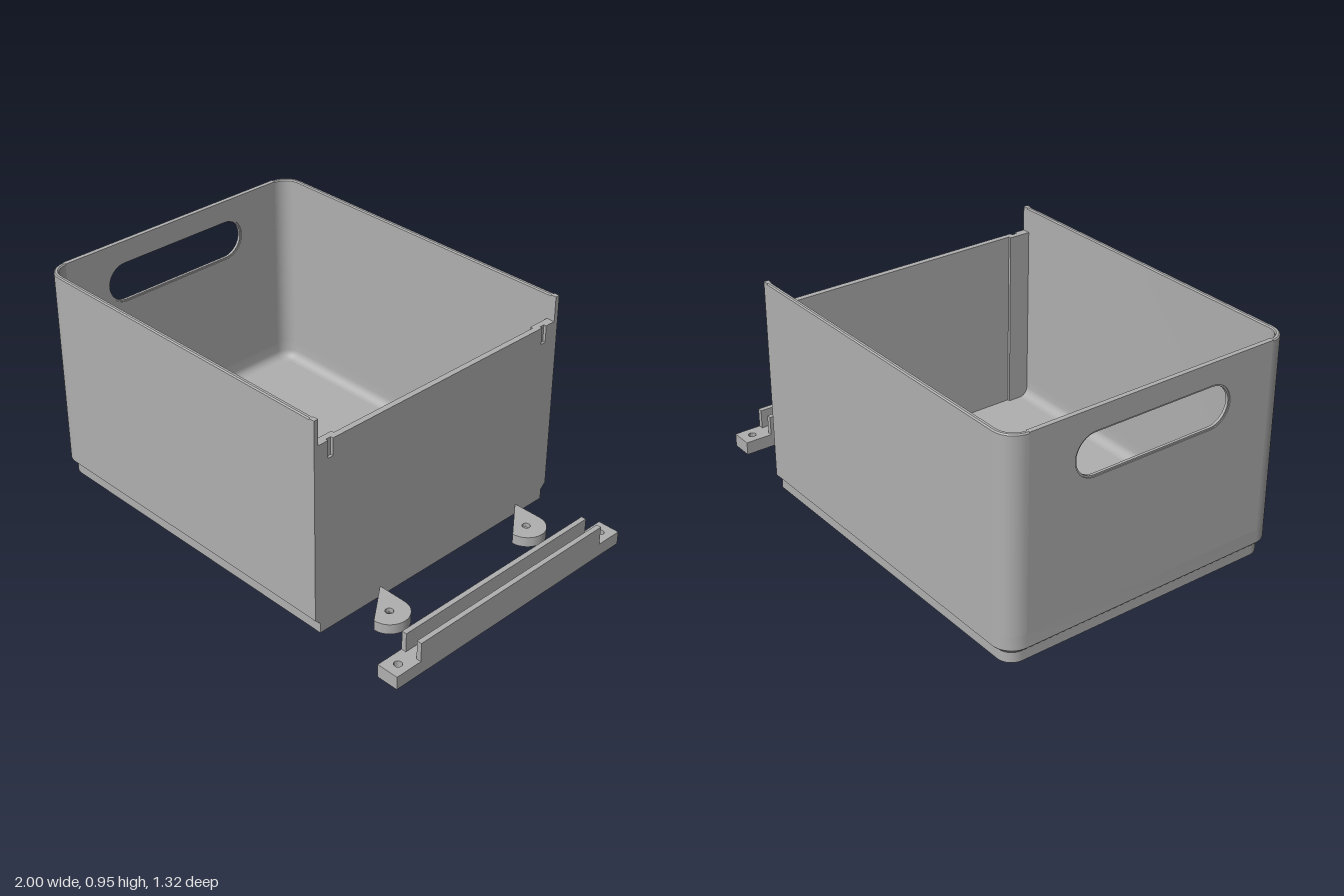
import * as THREE from 'three';
import { toCreasedNormals } from 'three/addons/utils/BufferGeometryUtils.js';

const W = 0.66, R = 0.09, X1 = 0.575, XW = 0.55, TOP = 0.955, LOW = 0.845, T = 0.02, SPLIT = 0.13;

// U-shaped plan of the bin: front side, rounded left end, back side
function plan(inset) {
  const pts = [[XW, W - inset]], n = 10;
  for (const s of [1, -1]) {
    for (let i = 0; i <= n; i++) {
      const a = (s > 0 ? i / n : 1 - i / n) * Math.PI / 2;
      pts.push([-1 + R - Math.sin(a) * (R - inset), s * (W - R + Math.cos(a) * (R - inset))]);
    }
  }
  pts.push([XW, -W + inset]);
  return pts;
}

// Sweeps an (inset, y) profile along part of the plan
function sweep(profile, from, to) {
  const rings = profile.map(([inset, y]) => plan(inset).map(([x, z]) => [x, y, z]));
  const pos = [];
  for (let j = 0; j < rings.length - 1; j++) {
    for (let i = from; i < to; i++) {
      const a = rings[j][i], b = rings[j][i + 1], c = rings[j + 1][i + 1], d = rings[j + 1][i];
      pos.push(...a, ...d, ...c, ...a, ...c, ...b);
    }
  }
  const g = new THREE.BufferGeometry();
  g.setAttribute('position', new THREE.Float32BufferAttribute(pos, 3));
  return toCreasedNormals(g, 0.6);
}

const poly = pts => new THREE.Shape(pts.map(([x, y]) => new THREE.Vector2(x, y)));

function circle(x, y, r) {
  return new THREE.Path().absarc(x, y, r, 0, Math.PI * 2, true);
}

function extrude(shape, depth) {
  const g = new THREE.ExtrudeGeometry(shape, { depth, bevelEnabled: false, curveSegments: 16 });
  return toCreasedNormals(g, 0.6);
}

// Horizontal plate from a shape drawn in (x, -z)
const flat = (shape, y, h) => extrude(shape, h).rotateX(-Math.PI / 2).translate(0, y, 0);
// Upright plate from a shape drawn in (-z, y)
const upright = (shape, x, d) => extrude(shape, d).rotateY(Math.PI / 2).translate(x, 0, 0);

// Long handle opening with round ends
function slot(grow) {
  const r = 0.085 + grow, c = 0.275, y = 0.768, p = new THREE.Path();
  p.absarc(c, y, r, -Math.PI / 2, Math.PI / 2, false);
  p.absarc(-c, y, r, Math.PI / 2, Math.PI * 1.5, false);
  p.closePath();
  return p;
}

// Low end wall with thin upright ears and optional grooves in its top edge
function endWall(grooved) {
  const half = [[0.635, 0], [0.635, 0.045], [W, 0.07], [W, TOP], [W - T, TOP], [W - T, LOW]];
  if (grooved) half.push([0.592, LOW], [0.592, 0.77], [0.568, 0.77], [0.568, LOW]);
  return poly([...half, ...half.map(([z, y]) => [-z, y]).reverse()]);
}

export function createModel() {
  const model = new THREE.Group();
  const grey = new THREE.MeshStandardMaterial({ color: 0xb0b0b0 });
  grey.name = 'grey plastic';
  const add = (name, geometry, parent = model) => {
    const m = new THREE.Mesh(geometry, grey);
    m.name = name;
    parent.add(m);
    return m;
  };
  const group = name => {
    const g = new THREE.Group();
    g.name = name;
    model.add(g);
    return g;
  };

  // Bin: inset base, lower wall with curved inner edge, upper walls
  const bin = group('bin');
  add('base', flat(poly(plan(0.025).map(([x, z]) => [x, -z])), 0, 0.045), bin);
  const lower = [[0.025, 0.045], [0, 0.07], [0, SPLIT]];
  const cove = [];
  for (let i = 0; i <= 6; i++) {
    const a = i / 6 * Math.PI / 2;
    cove.push([T + 0.04 * (1 - Math.cos(a)), 0.085 - 0.04 * Math.sin(a)]);
  }
  const last = plan(0).length - 1, mid = (last - 1) / 2;
  add('lowerWallOutside', sweep(lower, 0, last), bin);
  add('lowerWallInside', sweep([[T, SPLIT], ...cove], 0, last), bin);
  const upper = [[0, SPLIT], [0, TOP - 0.005], [0.005, TOP], [T - 0.005, TOP], [T, TOP - 0.005], [T, SPLIT]];
  add('frontWall', sweep(upper, 0, mid), bin);
  add('backWall', sweep(upper, mid + 1, last), bin);

  // Left wall in three layers, so the handle opening has a softened rim
  for (const [x, d, grow] of [[0, 0.004, 0.007], [0.004, 0.012, 0], [0.016, 0.004, 0.007]]) {
    const e = W - R, s = poly([[-e, SPLIT], [e, SPLIT], [e, TOP], [-e, TOP]]);
    s.holes.push(slot(grow));
    add('handleWall', upright(s, -1 + x, d), bin);
  }

  // Low right wall, grooved on its outer layer
  add('endWallInner', upright(endWall(false), XW, 0.013), bin);
  add('endWallOuter', upright(endWall(true), XW + 0.013, X1 - XW - 0.013), bin);
  for (const s of [1, -1]) {
    add('cornerPost', new THREE.BoxGeometry(0.012, LOW - 0.045, 0.1)
      .translate(XW - 0.006, (LOW + 0.045) / 2, s * 0.59), bin);
  }

  // Round-ended mounting tabs, holes wider underneath
  for (const s of [1, -1]) {
    const tab = group('mountingTab');
    for (const [y, h, r] of [[0, 0.025, 0.042], [0.025, 0.02, 0.017]]) {
      const c = s * 0.395, w = 0.083, shape = new THREE.Shape();
      shape.moveTo(X1 - 0.005, c - w);
      shape.absarc(0.702, c, w, -Math.PI / 2, Math.PI / 2, false);
      shape.lineTo(X1 - 0.005, c + w);
      shape.closePath();
      shape.holes.push(circle(0.702, c, r));
      add('tabPlate', flat(shape, y, h), tab);
    }
  }

  // Separate rail: drilled bar with two upright lips
  const rail = group('rail');
  for (const [y, h, r] of [[0, 0.025, 0.032], [0.025, 0.033, 0.017]]) {
    const bar = poly([[0.9, -0.657], [0.998, -0.657], [0.998, 0.615], [0.9, 0.615]]);
    for (const z of [-0.56, 0.602]) bar.holes.push(circle(0.949, -z, r));
    add('railBar', flat(bar, y, h), rail);
  }
  for (const x of [0.911, 0.987]) {
    add('railLip', new THREE.BoxGeometry(0.022, 0.085, 1.027).translate(x, 0.1, 0.0195), rail);
  }
  return model;
}
